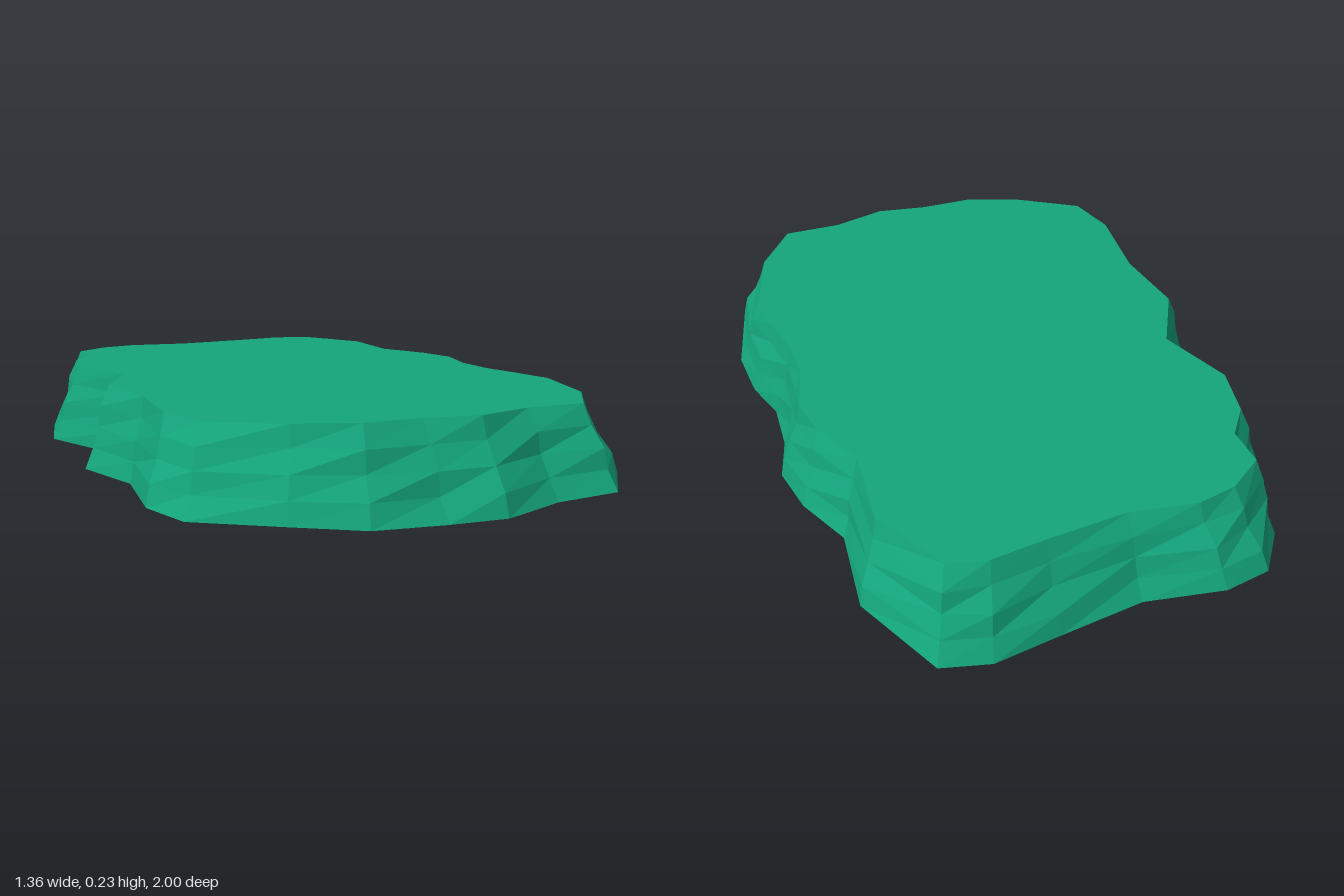
import * as THREE from 'three';

const HEIGHT = 0.23;

// Rock outline, clockwise seen from above: foot x, foot z, rim x, rim z
const OUTLINE = [
  [-0.37, -0.97, -0.31, -0.865], [-0.24, -0.995, -0.2, -0.89], [-0.03, -0.95, -0.02, -0.86],
  [0.2, -0.975, 0.2, -0.88], [0.38, -1, 0.35, -0.9], [0.51, -0.97, 0.455, -0.875],
  [0.62, -0.715, 0.555, -0.66], [0.59, -0.465, 0.53, -0.42], [0.655, -0.3, 0.59, -0.265],
  [0.675, -0.14, 0.61, -0.14], [0.63, 0.015, 0.565, 0.015], [0.615, 0.18, 0.56, 0.145],
  [0.65, 0.31, 0.58, 0.29], [0.655, 0.47, 0.595, 0.41], [0.58, 0.75, 0.515, 0.67],
  [0.43, 0.94, 0.4, 0.83], [0.25, 0.94, 0.23, 0.83], [0.07, 0.995, 0.07, 0.875],
  [-0.08, 0.975, -0.08, 0.85], [-0.28, 0.965, -0.24, 0.85], [-0.45, 0.885, -0.395, 0.79],
  [-0.65, 0.765, -0.57, 0.67], [-0.68, 0.595, -0.6, 0.51], [-0.615, 0.29, -0.56, 0.245],
  [-0.65, 0.015, -0.575, 0.005], [-0.51, -0.2, -0.465, -0.195], [-0.605, -0.46, -0.53, -0.42],
  [-0.55, -0.645, -0.49, -0.58], [-0.46, -0.73, -0.42, -0.67], [-0.46, -0.85, -0.415, -0.79],
].reverse();

// Heights of the rings as fractions from foot to rim
const LEVELS = [0, 0.25, 0.5, 0.75, 1];

function ring(t, level) {
  return OUTLINE.map(([fx, fz, rx, rz], i) => {
    // uneven rock face between the foot and the rim
    const inner = t > 0 && t < 1;
    const k = t + (inner ? 0.1 * Math.sin(i * 2.3 + level * 1.9) : 0);
    const foot = 0.011 + 0.011 * Math.sin(i * 0.9 + 1);
    return new THREE.Vector3(
      THREE.MathUtils.lerp(fx, rx, k),
      THREE.MathUtils.lerp(foot, HEIGHT, t),
      THREE.MathUtils.lerp(fz, rz, k));
  });
}

function meshFrom(name, points, material) {
  const geometry = new THREE.BufferGeometry().setFromPoints(points);
  geometry.computeVertexNormals();
  const mesh = new THREE.Mesh(geometry, material);
  mesh.name = name;
  return mesh;
}

function cap(points, facingDown) {
  const flat = points.map((p) => new THREE.Vector2(p.x, -p.z));
  return THREE.ShapeUtils.triangulateShape(flat, []).flatMap(([a, b, c]) =>
    (facingDown ? [c, b, a] : [a, b, c]).map((i) => points[i]));
}

export function createModel() {
  const group = new THREE.Group();
  group.name = 'rockSlab';
  const material = new THREE.MeshStandardMaterial({ color: 0x14a67c, flatShading: true });
  const rings = LEVELS.map(ring);

  // Sloping faceted sides
  const sides = [];
  for (let l = 0; l < rings.length - 1; l++) {
    const low = rings[l], high = rings[l + 1];
    for (let i = 0; i < low.length; i++) {
      const j = (i + 1) % low.length;
      sides.push(low[i], low[j], high[j], low[i], high[j], high[i]);
    }
  }
  group.add(meshFrom('sides', sides, material));

  // Level top and slightly wavy underside
  group.add(meshFrom('top', cap(rings[rings.length - 1], false), material));
  group.add(meshFrom('underside', cap(rings[0], true), material));
  return group;
}
